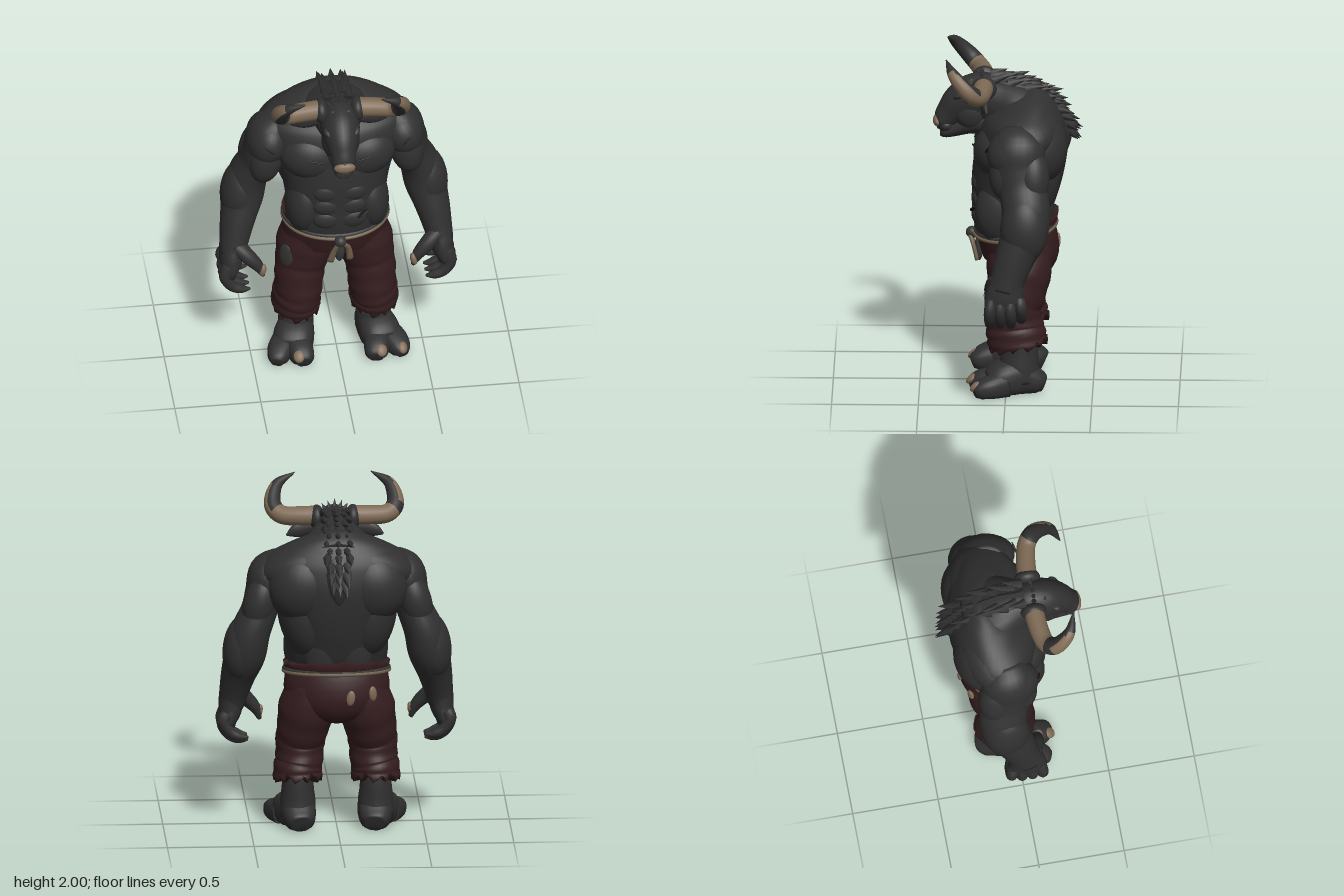
import * as THREE from 'three';

const V = (x, y, z) => new THREE.Vector3(x, y, z);
const mat = (name, color, side = THREE.FrontSide) => {
  const m = new THREE.MeshStandardMaterial({ color, side });
  m.name = name;
  return m;
};

// Sweeps ellipses through rings [x, y, z, halfWidth, halfDepth]; halfDepth lies along ref.
function loft(rings, { ref = V(0, 0, 1), seg = 24, steps = 5, s = 1, pow = 1, warp, paint } = {}) {
  const path = new THREE.CatmullRomCurve3(rings.map(r => V(r[0] * s, r[1], r[2])), false, 'catmullrom');
  const size = new THREE.CatmullRomCurve3(rings.map(r => V(r[3], r[4], 0)), false, 'catmullrom');
  const n = (rings.length - 1) * steps, pos = [], faces = [[], []];
  const bend = v => Math.sign(v) * Math.abs(v) ** pow;
  for (let i = 0; i <= n; i++) {
    const c = path.getPoint(i / n), r = size.getPoint(i / n), t = path.getTangent(i / n);
    const u = V().crossVectors(t, ref).normalize(), w = V().crossVectors(u, t);
    for (let j = 0; j < seg; j++) {
      const a = j / seg * Math.PI * 2, cos = Math.cos(a), sin = Math.sin(a);
      const p = c.clone().addScaledVector(u, r.x * bend(cos)).addScaledVector(w, r.y * bend(sin));
      if (warp) warp(p, i / n, a, j);
      pos.push(p.x, p.y, p.z);
      if (i === n) continue;
      const k = i * seg + j, b = i * seg + (j + 1) % seg;
      faces[paint ? paint(i / n, u.x * cos + w.x * sin) : 0].push(k, k + seg, b, b, k + seg, b + seg);
    }
  }
  const end = n * seg, p0 = path.getPoint(0), p1 = path.getPoint(1), k = pos.length / 3;
  pos.push(p0.x, p0.y, p0.z, p1.x, p1.y, p1.z);
  for (let j = 0; j < seg; j++) {
    const q = (j + 1) % seg;
    faces[0].push(k, j, q, k + 1, end + q, end + j);
  }
  const g = new THREE.BufferGeometry();
  g.setAttribute('position', new THREE.Float32BufferAttribute(pos, 3));
  g.setIndex([...faces[0], ...faces[1]]);
  if (paint) {
    g.addGroup(0, faces[0].length, 0);
    g.addGroup(faces[0].length, faces[1].length, 1);
  }
  g.computeVertexNormals();
  return g;
}

export function createModel() {
  const root = new THREE.Group();
  root.name = 'hornedBrute';
  const hide = mat('charcoal hide', 0x303030), dark = mat('dark scar', 0x1c1c1e);
  const cloth = mat('maroon cloth', 0x351d1f, THREE.DoubleSide);
  const tan = mat('tan horn', 0x7e6a55), grey = mat('grey cloth', 0x383737), rope = mat('rope', 0x75654f);
  const UP = V(0, 1, 0);

  const add = (name, material, geo) => {
    const m = new THREE.Mesh(geo, material);
    m.name = name;
    root.add(m);
    return m;
  };
  const ball = (name, material, p, r, rot = [0, 0, 0], s = 1) => {
    const m = add(name, material, new THREE.SphereGeometry(1, 28, 18));
    m.position.set(p[0] * s, p[1], p[2]);
    m.scale.set(...r);
    m.rotation.set(rot[0], rot[1] * s, rot[2] * s);
  };
  const spike = (name, p, dir, len, rad) => {
    const m = add(name, hide, new THREE.ConeGeometry(rad, len, 6).translate(0, len / 2, 0));
    m.position.copy(p);
    m.quaternion.setFromUnitVectors(UP, dir.clone().normalize());
  };

  // Trunk, neck and head
  add('torso', hide, loft([[0, .9, -.03, .27, .2], [0, 1, -.02, .285, .215], [0, 1.12, -.04, .295, .24],
    [0, 1.25, -.06, .32, .26], [0, 1.4, -.085, .375, .265], [0, 1.52, -.1, .42, .255], [0, 1.61, -.11, .42, .225],
    [0, 1.68, -.11, .33, .18], [0, 1.74, -.1, .2, .13], [0, 1.77, -.09, .08, .07]], { seg: 40, pow: .92 }));
  add('neck', hide, loft([[0, 1.58, -.2, .24, .17], [0, 1.65, -.06, .21, .16], [0, 1.68, .05, .15, .15],
    [0, 1.69, .14, .11, .15]], { ref: UP }));
  add('head', hide, loft([[0, 1.71, .05, .1, .12], [0, 1.71, .12, .112, .145], [0, 1.7, .2, .113, .14],
    [0, 1.665, .27, .098, .115], [0, 1.61, .33, .075, .085], [0, 1.565, .375, .066, .06], [0, 1.555, .395, .05, .045]],
  { ref: UP, seg: 28 }));
  add('lowerJaw', hide, loft([[0, 1.5, .385, .025, .015], [0, 1.5, .365, .05, .036], [0, 1.52, .3, .066, .048],
    [0, 1.56, .2, .09, .07], [0, 1.58, .08, .11, .1]], { ref: UP }));
  ball('muzzle', hide, [0, 1.545, .35], [.072, .045, .05]);
  ball('nosePlate', tan, [0, 1.567, .4], [.062, .034, .026]);
  ball('mouthLine', dark, [0, 1.525, .374], [.05, .005, .03]);

  // Seat and waistband of the trousers
  add('trouserSeat', cloth, loft([[0, .66, -.06, .1, .1], [0, .75, -.085, .27, .205], [0, .83, -.075, .305, .225],
    [0, .92, -.05, .298, .225], [0, .98, -.05, .31, .235]], {
    seg: 48, warp(p, t, a, j) {
      if (t < .8) return;
      const back = Math.max(0, -p.z - .1) * (t - .8) * 5;
      p.y += back * .25 + (j % 5 === 0 ? (t - .8) * .07 : 0);
      p.z -= back * .08;
    },
  }));
  const ring = (rx, rz, y0, tilt) => new THREE.CatmullRomCurve3(Array.from({ length: 20 }, (_, i) => {
    const a = i / 20 * Math.PI * 2;
    return V(rx * Math.cos(a), y0 - tilt * Math.sin(a), -.05 + rz * Math.sin(a));
  }), true);
  add('clothBelt', grey, new THREE.TubeGeometry(ring(.3, .228, .942, .025), 60, .014, 8, true));
  add('ropeBelt', rope, new THREE.TubeGeometry(ring(.305, .236, .928, .03), 60, .012, 8, true));
  ball('beltKnot', grey, [0, .89, .2], [.035, .035, .036]);
  ball('hangingCloth', grey, [0, .8, .16], [.03, .08, .025]);
  add('ropeTailRight', rope, loft([[0, .89, .22, .013, .013], [-.03, .83, .195, .016, .012], [-.055, .73, .17, .021, .012]], { seg: 8 }));
  add('ropeTailLeft', rope, loft([[0, .89, .22, .013, .013], [.045, .84, .195, .016, .012], [.06, .74, .17, .021, .012]], { seg: 8 }));
  ball('backTassel', tan, [-.07, .82, -.295], [.025, .045, .014], [0, 0, .15]);
  ball('hipTassel', tan, [-.2, .835, -.255], [.025, .045, .014], [0, .55, -.1]);

  // Paired parts, s = 1 on the model's left
  for (const s of [1, -1]) {
    const n = s > 0 ? 'left' : 'right';
    const part = (name, rings, material = hide, opt = {}) => add(n + name, material, loft(rings, { s, ...opt }));
    const lump = (name, p, r, rot, material = hide) => ball(n + name, material, p, r, rot, s);

    // Trunk muscles
    lump('Pectoral', [.155, 1.43, .055], [.185, .155, .135], [0, .12, .15]);
    lump('Trapezius', [.2, 1.59, -.13], [.26, .13, .18], [0, 0, -.3]);
    lump('ShoulderBlade', [.2, 1.47, -.18], [.21, .22, .175], [0, 0, .15]);
    lump('Lat', [.19, 1.3, -.13], [.155, .28, .18], [0, 0, -.15]);
    lump('LowerBack', [.09, 1.1, -.17], [.12, .25, .105]);
    for (let i = 0; i < 3; i++) lump('Abdominal', [.068, 1.03 + i * .095, .158], [.09, .066, .045]);
    lump('Oblique', [.19, 1.08, .02], [.112, .2, .16], [0, 0, .08]);

    // Arm
    part('Arm', [[.32, 1.61, -.08, .07, .1], [.385, 1.52, -.07, .12, .155], [.42, 1.4, -.08, .11, .15],
      [.45, 1.3, -.1, .105, .14], [.5, 1.18, -.12, .115, .14], [.53, 1.05, -.11, .12, .135],
      [.565, .92, -.06, .102, .115], [.59, .8, -.02, .085, .1], [.605, .72, 0, .075, .1]]);
    lump('Deltoid', [.39, 1.48, -.06], [.125, .155, .168], [0, 0, .3]);
    lump('Biceps', [.41, 1.37, .005], [.095, .15, .09], [0, 0, .2]);
    lump('Triceps', [.45, 1.36, -.155], [.095, .17, .1], [0, 0, .25]);
    lump('ForearmMuscle', [.55, 1.08, -.11], [.11, .2, .137], [0, 0, .12]);
    part('Palm', [[.6, .8, -.02, .07, .09], [.61, .7, 0, .07, .11], [.62, .63, 0, .055, .115], [.615, .59, 0, .035, .1]]);
    for (let i = 0; i < 4; i++) {
      const z = .085 - i * .06, d = i === 3 ? .03 : 0;
      part('Finger', [[.63, .68, z * .9, .04, .034], [.655, .61 + d, z, .036, .034], [.62, .545 + d, z, .033, .032],
        [.565, .515 + d, z, .027, .027], [.51, .51 + d, z, .007, .008]], hide, { seg: 12 });
    }
    part('Thumb', [[.59, .79, .03, .05, .055], [.525, .735, .07, .046, .045], [.465, .67, .085, .034, .034],
      [.435, .6, .085, .012, .014]], hide, { seg: 12 });
    lump('ThumbNail', [.439, .645, .096], [.021, .04, .028], [0, 0, .2], tan);

    // Trouser leg with folds and a ragged hem
    part('TrouserLeg', [[.15, .86, -.075, .13, .18], [.17, .72, -.075, .165, .188], [.195, .6, -.065, .15, .168],
      [.21, .5, -.045, .142, .155], [.215, .4, -.05, .138, .167], [.225, .34, -.06, .14, .172], [.225, .285, -.07, .143, .172]],
    cloth, {
      seg: 36, warp(p, t, a, j) {
        const f = 1 + .02 * Math.sin(t * 42 + 2 * Math.sin(a)) * Math.min(1, t * 2);
        p.x = .2 * s + (p.x - .2 * s) * f;
        p.z = -.06 + (p.z + .06) * f;
        if (t > .97) p.y += [.045, .02, -.02, -.005, .025, -.015][j % 6];
      },
    });

    // Shin and cloven foot
    part('Shin', [[.22, .38, -.07, .09, .1], [.225, .25, -.08, .092, .105], [.225, .16, -.075, .102, .115], [.225, .07, -.075, .105, .125]]);
    const ground = { ref: UP, pow: .82, warp(p) { p.y = Math.max(p.y, 0); } };
    part('Foot', [[.21, .045, -.215, .055, .05], [.215, .06, -.18, .085, .07], [.225, .09, -.08, .105, .11],
      [.25, .085, .02, .118, .105], [.27, .06, .1, .1, .07]], hide, ground);
    part('InnerHoof', [[.235, .07, .02, .08, .085], [.222, .06, .12, .075, .074], [.212, .047, .175, .065, .058],
      [.21, .035, .205, .04, .036]], hide, ground);
    part('OuterHoof', [[.29, .065, .01, .08, .085], [.335, .055, .09, .075, .07], [.358, .043, .15, .058, .052],
      [.368, .032, .18, .034, .031]], hide, ground);
    lump('InnerHoofNail', [.24, .08, .199], [.032, .038, .018], [-.8, .15, 0], tan);
    if (s > 0) lump('OuterHoofNail', [.366, .07, .176], [.027, .036, .018], [-.8, .3, 0], tan);

    // Face, ear and horn
    lump('Brow', [.055, 1.725, .275], [.055, .022, .04], [.2, .35, .35]);
    lump('Eye', [.072, 1.69, .284], [.014, .01, .011], [0, .6, .2], rope);
    lump('Cheek', [.055, 1.63, .2], [.055, .1, .1]);
    part('Ear', [[.09, 1.74, .14, .03, .03], [.17, 1.725, .13, .025, .045], [.23, 1.71, .12, .02, .038],
      [.28, 1.69, .11, .004, .006]], hide, { ref: UP, seg: 14 });
    lump('HornSocket', [.105, 1.79, .13], [.045, .072, .075]);
    part('Horn', [[.09, 1.8, .13, .058, .058], [.21, 1.795, .14, .056, .056], [.31, 1.8, .165, .053, .053],
      [.355, 1.85, .22, .05, .05], [.325, 1.94, .3, .034, .034], [.22, 2, .345, .003, .003]], [tan, hide], {
      seg: 20, steps: 8, ref: V(0, .5, -.8).normalize(),
      paint: (t, nx) => (t > .45 && !(nx * s > .5 && t < .82 && (s > 0 || t > .57))) ? 1 : 0,
    });

    // Scars on chest and shoulder
    lump('ChestScar', [.14, 1.46, .188], [.05, .005, .006], [0, .2, .15], dark);
    lump('ShoulderScar', [.4, 1.51, .108], [.04, .007, .006], [0, .3, .7], dark);
  }
  ball('bellyScar', dark, [.13, 1.07, .19], [.04, .007, .02], [0, .2, .6]);
  ball('trouserPatch', grey, [-.295, .69, .04], [.05, .08, .014], [0, -.85, 0]);

  // Mane running from the brow down the spine
  const spine = [[0, 1.82, .12, .06, .02], [0, 1.795, -.03, .085, .035], [0, 1.75, -.16, .088, .035], [0, 1.68, -.25, .088, .035],
    [0, 1.58, -.32, .08, .035], [0, 1.48, -.345, .06, .03], [0, 1.39, -.335, .02, .015]];
  add('maneBase', hide, loft(spine, { ref: V(0, .7, -.7), seg: 16 }));
  const line = new THREE.CatmullRomCurve3(spine.map(r => V(r[0], r[1], r[2])));
  for (let i = 0; i < 12; i++) {
    const t = .05 + i * .07, p = line.getPointAt(t), d = line.getTangentAt(t), out = V(1, 0, 0).cross(d);
    for (const k of [-1, 0, 1]) {
      const x = k * (i % 2 ? .045 : .062) * (t > .7 ? .65 : 1);
      const dir = out.clone().multiplyScalar(t < .4 ? .4 : .6).addScaledVector(d, .75).add(V(k * .12, 0, 0));
      spike('maneTuft', V(x, p.y, p.z).addScaledVector(out, .01), dir, .085 + (i * 7 + k * 3 + 8) % 4 * .012, .034);
    }
  }
  for (let k = -2; k <= 2; k++) {
    spike('forelock', V(k * .025, 1.82, .14), V(k * .25, 1, .1), .08 - Math.abs(k) * .012, .022);
    spike('browLock', V(k * .02, 1.82, .2), V(k * .2, -.35, .5), .07, .02);
  }
  return root;
}
